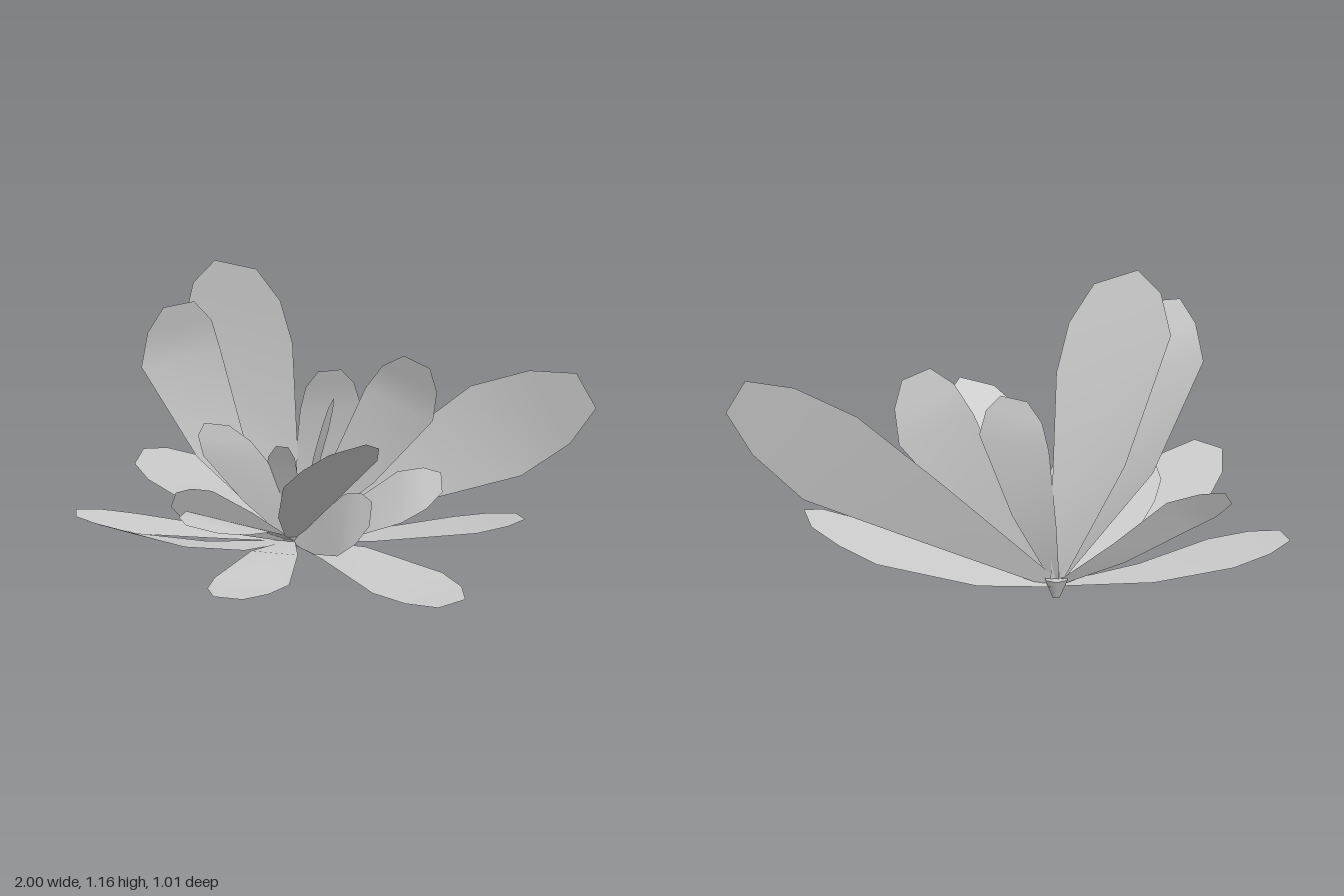
import * as THREE from 'three';

const BASE = new THREE.Vector3(-0.16, 0.045, -0.44);
const material = new THREE.MeshStandardMaterial({ color: 0xcccccc, side: THREE.DoubleSide });

// Blade widths relative to its widest row: base, middle, widest, shoulder, blunt tip
const WIDTHS = [0.1, 0.64, 1, 0.8, 0.38];

// A leaf is a strip of rows running from the crown to the tip;
// half is the vector from the midrib to one edge at the widest row.
function leaf(name, mid, wide, tip, half) {
  const [m, w, t, h] = [mid, wide, tip, half].map((p) => new THREE.Vector3(...p));
  const rows = [BASE, m, w, w.clone().lerp(t, 0.6), t];
  const positions = [];
  const index = [];
  rows.forEach((centre, i) => {
    for (const side of [-1, 1]) {
      positions.push(...centre.clone().addScaledVector(h, side * WIDTHS[i]).toArray());
    }
    if (i > 0) {
      const a = 2 * i - 2;
      index.push(a, a + 1, a + 2, a + 1, a + 3, a + 2);
    }
  });
  const geometry = new THREE.BufferGeometry();
  geometry.setAttribute('position', new THREE.Float32BufferAttribute(positions, 3));
  // Turn the front face upward
  const normal = new THREE.Vector3().crossVectors(h, t.clone().sub(BASE));
  geometry.setIndex(normal.y < 0 ? index.reverse() : index);
  geometry.computeVertexNormals();
  const mesh = new THREE.Mesh(geometry, material);
  mesh.name = name;
  return mesh;
}

function leafGroup(name, ...leaves) {
  const group = new THREE.Group();
  group.name = name;
  return group.add(...leaves);
}

export function createModel() {
  const plant = new THREE.Group();
  plant.name = 'leafyPlant';

  // Tall upright leaves at the back
  const upright = leafGroup('uprightLeaves',
    leaf('tallLeaf', [-0.27, 0.45, -0.46], [-0.355, 0.88, -0.4], [-0.36, 1.145, -0.365], [0.2, -0.05, -0.055]),
    leaf('tallRightLeaf', [-0.42, 0.42, -0.36], [-0.555, 0.8, -0.26], [-0.55, 1.02, -0.19], [0.135, 0.015, -0.1]),
    leaf('backLeaf', [-0.08, 0.3, -0.48], [-0.01, 0.58, -0.46], [-0.01, 0.73, -0.43], [0.12, 0.02, 0.03]),
    leaf('backLeftLeaf', [0.08, 0.33, -0.43], [0.26, 0.61, -0.4], [0.33, 0.79, -0.33], [0.13, -0.06, 0.01]),
    leaf('longLeftLeaf', [0.3, 0.33, -0.46], [0.63, 0.51, -0.42], [0.965, 0.7, -0.3], [-0.1, 0.165, -0.04]),
  );

  // Shorter leaves around the heart
  const inner = leafGroup('innerLeaves',
    leaf('heartLeaf', [-0.17, 0.2, -0.4], [-0.19, 0.34, -0.36], [-0.18, 0.455, -0.31], [0.065, 0, 0.02]),
    leaf('narrowLeaf', [-0.08, 0.27, -0.32], [-0.02, 0.5, -0.21], [0.02, 0.66, -0.18], [0.02, 0.03, -0.08]),
    leaf('innerRightLeaf', [-0.26, 0.21, -0.38], [-0.36, 0.4, -0.32], [-0.43, 0.54, -0.3], [0.12, -0.02, -0.04]),
    leaf('leaningFrontLeaf', [-0.07, 0.25, -0.17], [0.04, 0.45, 0.07], [0.12, 0.59, 0.26], [0.17, 0.05, -0.02]),
  );

  // Half-raised leaves leaning outward
  const leaning = leafGroup('leaningLeaves',
    leaf('frontRightLeaf', [-0.26, 0.17, -0.17], [-0.33, 0.27, 0.1], [-0.39, 0.3, 0.32], [0.16, -0.03, 0.02]),
    leaf('outerFrontRightLeaf', [-0.38, 0.1, -0.16], [-0.6, 0.2, 0.12], [-0.77, 0.315, 0.33], [0.13, 0.01, 0.12]),
    leaf('smallRightLeaf', [-0.31, 0.15, -0.29], [-0.45, 0.25, -0.13], [-0.55, 0.32, 0], [0.03, 0.08, 0.03]),
    leaf('sideRightLeaf', [-0.38, 0.17, -0.46], [-0.58, 0.3, -0.45], [-0.76, 0.37, -0.45], [0.04, 0.07, -0.045]),
    leaf('frontLeftLeaf', [-0.04, 0.13, -0.24], [0.07, 0.23, -0.04], [0.19, 0.31, 0.09], [0, 0.075, -0.16]),
    leaf('sideLeftLeaf', [0.07, 0.15, -0.36], [0.27, 0.27, -0.3], [0.43, 0.33, -0.31], [0.01, -0.09, 0.045]),
  );

  // Flat leaves spreading near the ground
  const ground = leafGroup('lowLeaves',
    leaf('lowRightLeaf', [-0.48, 0.08, -0.42], [-0.75, 0.125, -0.345], [-0.985, 0.175, -0.3], [0.03, 0, 0.145]),
    leaf('lowFrontLeaf', [-0.18, 0.11, -0.05], [-0.23, 0.085, 0.23], [-0.28, 0.1, 0.48], [0.14, 0, 0.03]),
    leaf('lowFrontLeftLeaf', [0.07, 0.085, -0.16], [0.33, 0.075, 0.16], [0.5, 0.085, 0.42], [0.12, 0.015, -0.09]),
    leaf('lowLeftLeaf', [0.15, 0.085, -0.4], [0.52, 0.165, -0.31], [0.73, 0.225, -0.24], [0.05, 0.02, 0.185]),
  );

  // Small crown where the leaves meet
  const crown = new THREE.Mesh(new THREE.CylinderGeometry(0.045, 0.015, 0.07, 6), material);
  crown.name = 'crown';
  crown.position.set(BASE.x, 0.035, BASE.z);

  plant.add(upright, inner, leaning, ground, crown);
  return plant;
}
